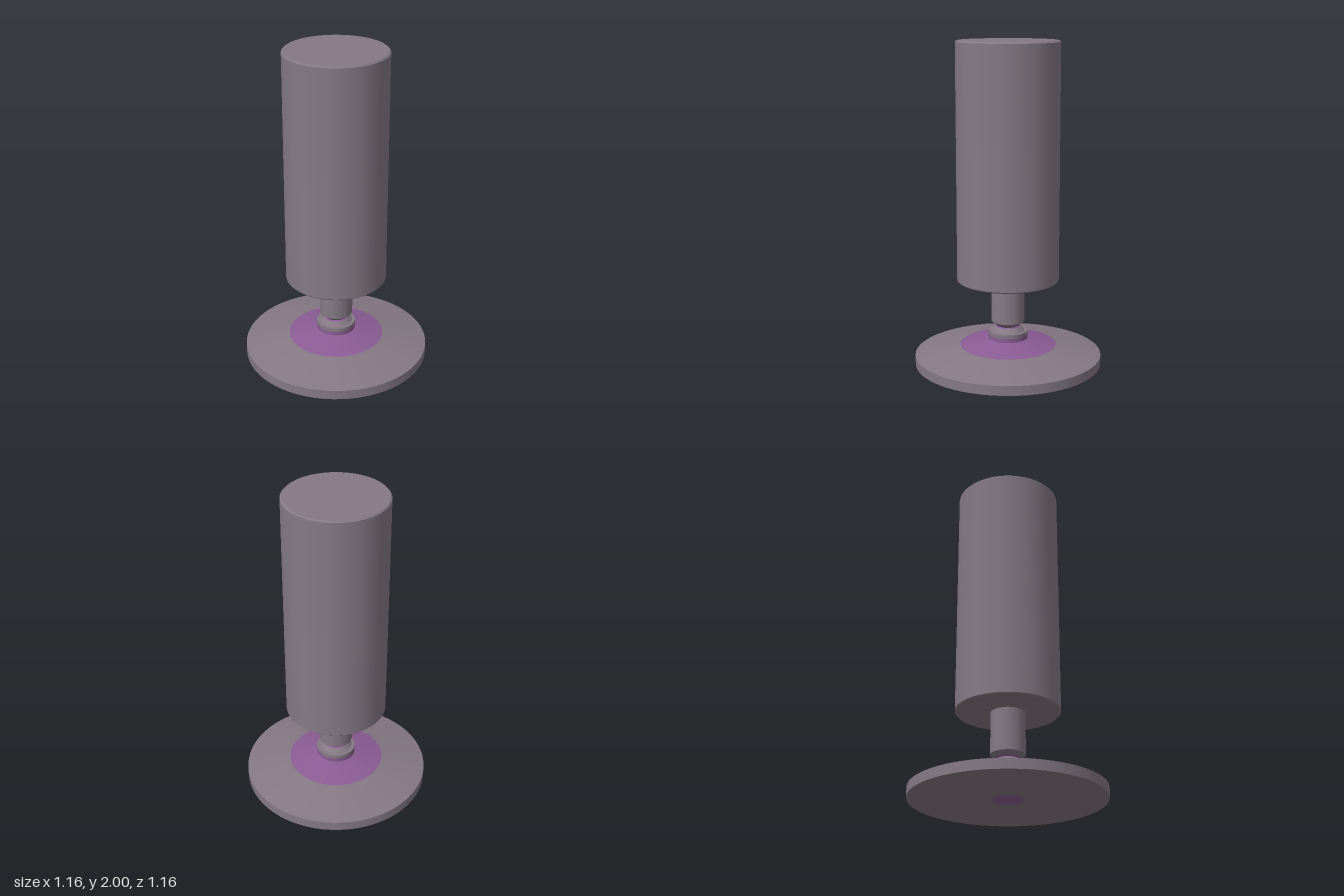
import * as THREE from 'three';
import { toCreasedNormals } from 'three/addons/utils/BufferGeometryUtils.js';

export function createModel() {
  const group = new THREE.Group();
  const metal = new THREE.MeshStandardMaterial({ color: 0x857984 });
  metal.name = 'warm grey metal';
  const purple = new THREE.MeshStandardMaterial({ color: 0x8a5c94 });
  purple.name = 'purple plastic';

  // Turned part: profile of [radius, height] points running from bottom to top
  const turned = (name, material, profile) => {
    const points = profile.map(([r, y]) => new THREE.Vector2(r, y));
    const geometry = toCreasedNormals(new THREE.LatheGeometry(points, 72), 0.35);
    const mesh = new THREE.Mesh(geometry, material);
    mesh.name = name;
    group.add(mesh);
  };

  // Foot: wide disc with a purple core showing below and around the joint
  turned('footCoreUnderside', purple, [[0, 0], [0.095, 0]]);
  turned('footDisc', metal, [[0.095, 0], [0.58, 0], [0.58, 0.06], [0.3, 0.117]]);
  turned('footCone', purple, [[0.3, 0.117], [0.24, 0.13], [0.12, 0.16]]);

  // Joint: collar, flared seat and narrow neck
  turned('collarBase', purple, [[0.122, 0.157], [0.122, 0.185]]);
  turned('collar', metal, [[0.122, 0.185], [0.122, 0.208], [0.102, 0.208], [0.078, 0.235]]);
  turned('neck', purple, [[0.078, 0.235], [0.07, 0.24], [0.078, 0.248]]);

  // Stem with a chamfered lower end
  turned('stem', metal, [[0.078, 0.248], [0.104, 0.27], [0.104, 0.535]]);

  // Main cylinder with small bevels
  turned('body', metal, [[0, 0.53], [0.307, 0.53], [0.315, 0.538],
    [0.315, 1.992], [0.307, 2], [0, 2]]);

  return group;
}
